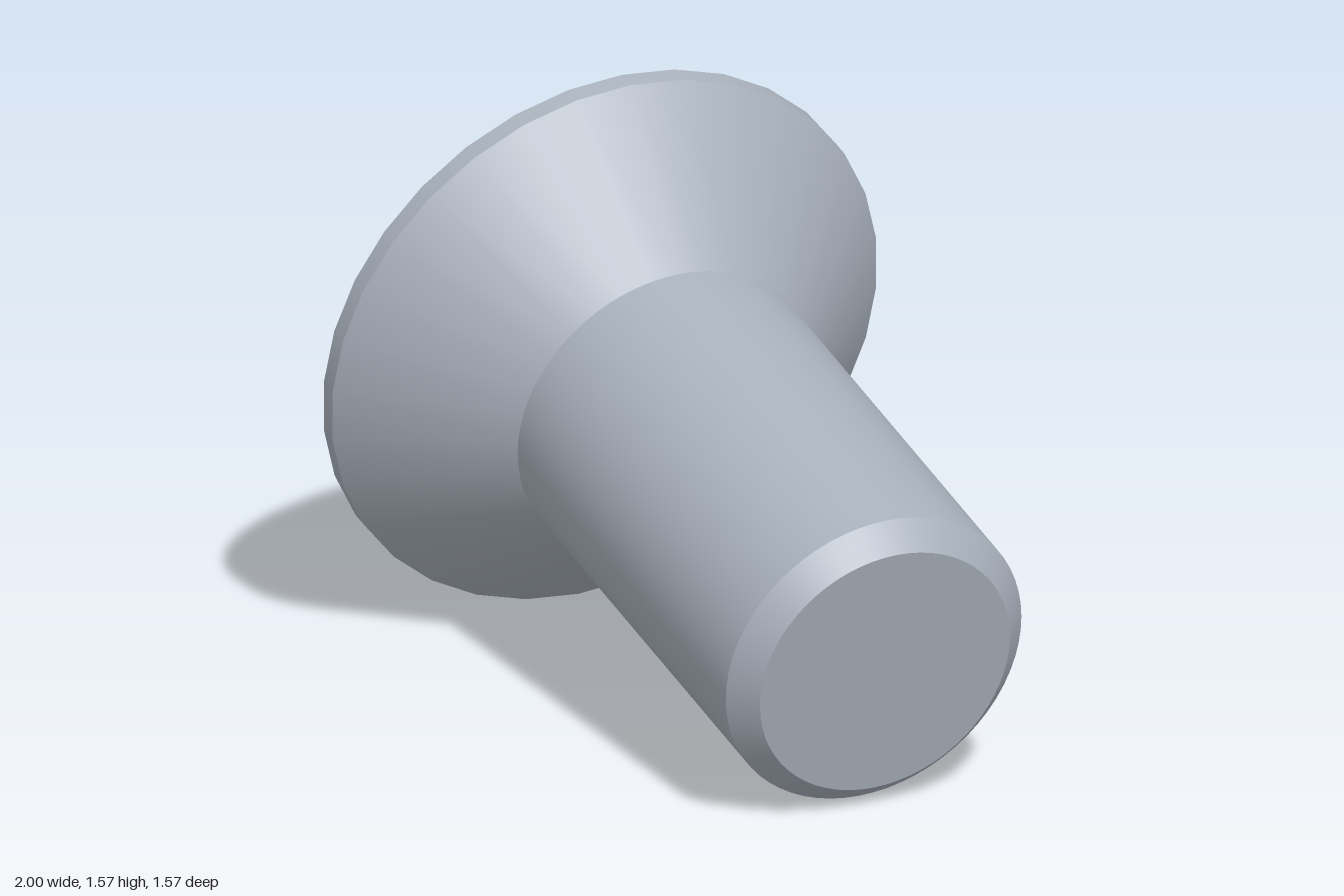
import * as THREE from 'three';

const steel = new THREE.MeshStandardMaterial({ color: 0xa9b1bc });
steel.name = 'steel';

// Axial stations (0 = head face) and radii
const HEAD_R = 0.798, SHANK_R = 0.432, TIP_R = 0.365;
const RIM = 0.052, NECK = 0.418, CHAMFER = 1.665, END = 1.733;

function add(group, name, geometry) {
  const mesh = new THREE.Mesh(geometry, steel);
  mesh.name = name;
  group.add(mesh);
}

// One turned section of the screw, running along +y
function turned(r0, y0, r1, y1, sides) {
  return new THREE.LatheGeometry([new THREE.Vector2(r0, y0), new THREE.Vector2(r1, y1)], sides);
}

// Pocket below a counter-clockwise outline: sloping walls and a floor pointed at its middle
function pocket(top, bottom, depth, centreDepth) {
  const pos = [];
  const mid = new THREE.Vector2();
  bottom.forEach((p) => mid.addScaledVector(p, 1 / bottom.length));
  top.forEach((a, i) => {
    const j = (i + 1) % top.length;
    const b = top[j], c = bottom[j], d = bottom[i];
    pos.push(a.x, a.y, 0, b.x, b.y, 0, c.x, c.y, -depth);
    pos.push(a.x, a.y, 0, c.x, c.y, -depth, d.x, d.y, -depth);
    pos.push(d.x, d.y, -depth, c.x, c.y, -depth, mid.x, mid.y, -centreDepth);
  });
  const g = new THREE.BufferGeometry();
  g.setAttribute('position', new THREE.Float32BufferAttribute(pos, 3));
  g.computeVertexNormals();
  return g.rotateX(Math.PI / 2);
}

// Repeats a few points around the four quadrants
function turn(points, quarter) {
  const o = new THREE.Vector2();
  return points.map(([x, y]) => new THREE.Vector2(x, y).rotateAround(o, quarter * Math.PI / 2));
}

function cross(length, half) {
  const out = [];
  for (let q = 0; q < 4; q++) out.push(...turn([[length, -half], [length, half], [half, half]], q));
  return out;
}

// Narrow diagonal slot between two radii
function slot(r0, r1, half, quarter) {
  const o = new THREE.Vector2();
  return turn([[r0, -half], [r1, -half], [r1, half], [r0, half]], quarter)
    .map((p) => p.rotateAround(o, Math.PI / 4));
}

export function createModel() {
  const model = new THREE.Group();
  model.name = 'countersunkScrew';
  const screw = new THREE.Group();
  screw.name = 'screw';
  model.add(screw);

  // Head, shank and chamfered end
  add(screw, 'headRim', turned(HEAD_R, 0, HEAD_R, RIM, 32));
  add(screw, 'headCone', turned(HEAD_R, RIM, SHANK_R, NECK, 32));
  add(screw, 'shank', turned(SHANK_R, NECK, SHANK_R, CHAMFER, 64));
  add(screw, 'tipChamfer', turned(SHANK_R, CHAMFER, TIP_R, END, 64));
  add(screw, 'tipFace', new THREE.CircleGeometry(TIP_R, 64).rotateX(-Math.PI / 2).translate(0, END, 0));

  // Head face with cross recess and four diagonal slots
  const face = new THREE.Shape();
  face.absarc(0, 0, HEAD_R, 0, Math.PI * 2, false);
  const outline = cross(0.37, 0.118);
  face.holes.push(new THREE.Path(outline));
  add(screw, 'crossRecess', pocket(outline, cross(0.23, 0.1), 0.38, 0.44));
  for (let q = 0; q < 4; q++) {
    const mark = slot(0.19, 0.41, 0.014, q);
    face.holes.push(new THREE.Path(mark));
    add(screw, 'diagonalSlot', pocket(mark, slot(0.19, 0.3, 0.014, q), 0.1, 0.1));
  }
  add(screw, 'headFace', new THREE.ShapeGeometry(face, 32).rotateX(Math.PI / 2));

  // Tilt the screw so it rests on its head rim and tip
  const axis = new THREE.Vector3(0.954, -0.2193, 0.2035).normalize();
  const down = new THREE.Vector3(axis.y, -axis.x, 0).normalize();
  down.applyAxisAngle(axis, THREE.MathUtils.degToRad(3.5));
  const side = new THREE.Vector3().crossVectors(down, axis);
  screw.quaternion.setFromRotationMatrix(new THREE.Matrix4().makeBasis(down, axis, side));
  screw.position.set(-0.762, 0.79, -0.005);
  return model;
}
